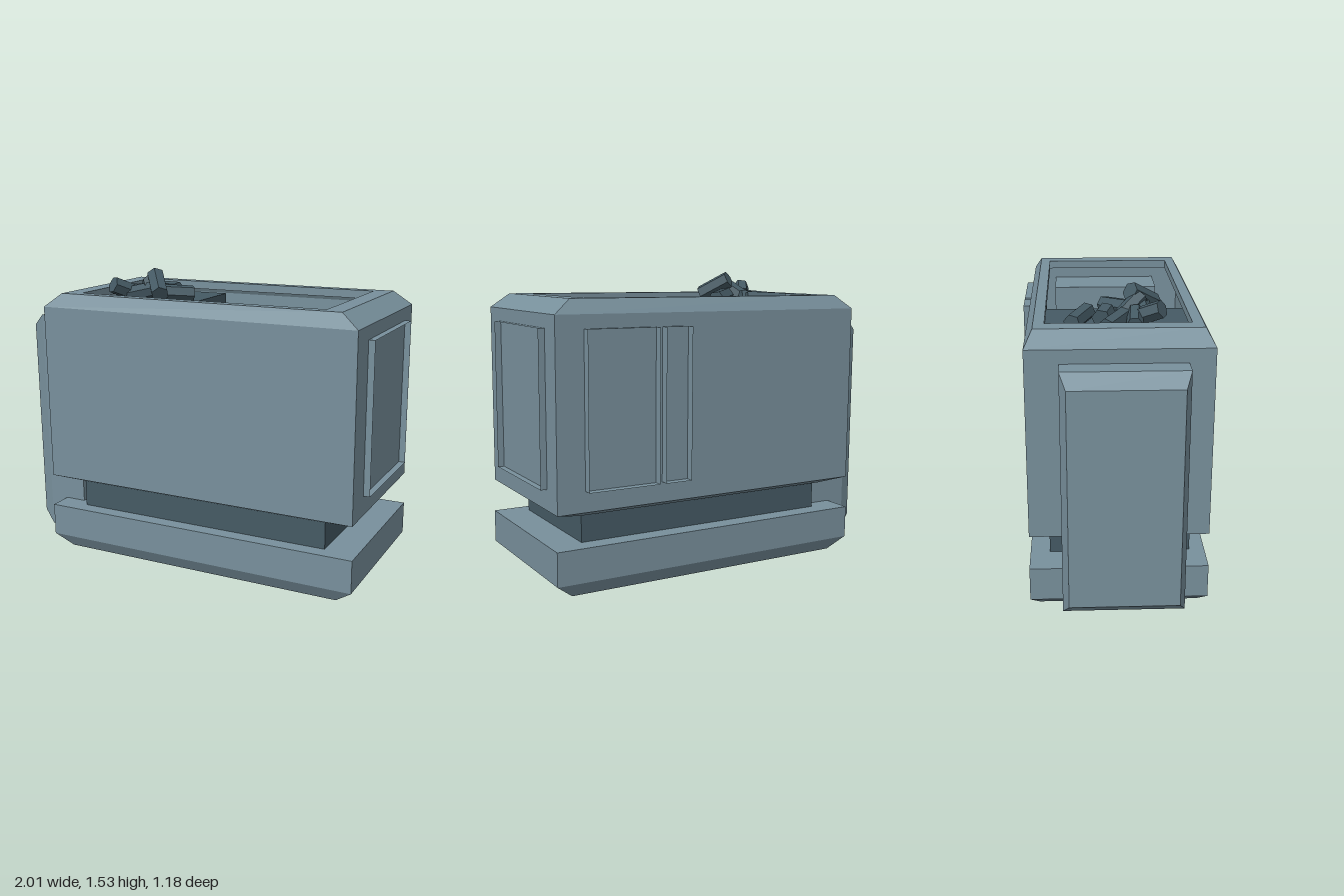
import * as THREE from 'three';

// Stacks rectangular rings [y, halfX, halfZ] into a flat-faced solid or shell.
function loft(rings, capStart = true, capEnd = true) {
  const pts = [];
  const ring = ([y, a, b]) => [[-a, y, -b], [-a, y, b], [a, y, b], [a, y, -b]];
  const quad = (p, q, r, s) => pts.push(...p, ...q, ...r, ...p, ...r, ...s);
  const loops = rings.map(ring);
  for (let k = 0; k < loops.length - 1; k++) {
    const lo = loops[k], hi = loops[k + 1];
    for (let i = 0; i < 4; i++) {
      const j = (i + 1) % 4;
      quad(lo[i], lo[j], hi[j], hi[i]);
    }
  }
  const [a, b, c, d] = loops[0];
  if (capStart) quad(d, c, b, a);
  if (capEnd) quad(...loops[loops.length - 1]);
  const geo = new THREE.BufferGeometry();
  geo.setAttribute('position', new THREE.Float32BufferAttribute(pts, 3));
  geo.computeVertexNormals();
  return geo;
}

export function createModel() {
  const steel = new THREE.MeshStandardMaterial({ color: 0x78909c, side: THREE.DoubleSide });
  steel.name = 'blueGreySteel';
  const dark = new THREE.MeshStandardMaterial({ color: 0x455a64, flatShading: true });
  dark.name = 'darkSlate';

  const model = new THREE.Group();
  model.name = 'storageBin';
  // The whole unit stands slightly turned and tilted
  const unit = new THREE.Group();
  unit.name = 'unit';
  unit.position.set(0.0675, 0, 0.0075);
  unit.rotation.set(0, 0.178, 0.0085, 'YXZ');
  model.add(unit);

  const add = (name, geo, mat, x = 0, y = 0, z = 0) => {
    const mesh = new THREE.Mesh(geo, mat);
    mesh.name = name;
    mesh.position.set(x, y, z);
    unit.add(mesh);
    return mesh;
  };

  // Plinth with bevelled underside, and the recessed neck above it
  add('base', loft([[0.01, 0.775, 0.392], [0.08, 0.866, 0.434], [0.25, 0.866, 0.434]]), steel);
  add('neck', new THREE.BoxGeometry(1.4, 0.2, 0.696), dark, 0, 0.31, 0.01);

  // Hollow body with bevelled rim and a short inner lip
  add('body', loft([
    [0.39, 0.72, 0.36], [0.4225, 0.861, 0.4315], [1.352, 0.861, 0.4315],
    [1.4225, 0.77, 0.392], [1.4225, 0.678, 0.34], [1.38, 0.678, 0.34],
  ], true, false), steel);

  // Bevelled slab on the end
  add('endSlab', loft([[0.75, 0.603, 0.292], [0.97, 0.603, 0.292], [1.041, 0.54, 0.262]]),
    steel, 0, 0.682, 0.018).rotation.z = Math.PI / 2;

  // Open-faced panel frames set through the walls
  const panelY = 0.905, panelH = 0.38;
  add('sidePanel', loft([[0.59, panelH, 0.295], [0.894, panelH, 0.295]], true, false),
    steel, 0, panelY, -0.015).rotation.z = -Math.PI / 2;
  for (const [name, x0, x1] of [['narrowBackPanel', 0.164, 0.307], ['wideBackPanel', 0.342, 0.718]]) {
    const half = (x1 - x0) / 2;
    add(name, loft([[0.365, half, panelH], [0.477, half, panelH]], true, false),
      steel, x0 + half, panelY, 0).rotation.x = -Math.PI / 2;
  }

  // Inner compartment filled to the top
  add('innerBin', new THREE.BoxGeometry(0.455, 0.94, 0.72), dark, -0.418, 0.89, 0);

  // Loose chunks: centre, direction, length, radius (in model space)
  const chunks = [
    [[-0.44, 1.39, -0.08], [1, 0.05, 0.2], 0.21, 0.043],
    [[-0.39, 1.39, 0.03], [0.8, 0.1, 0.1], 0.1, 0.048],
    [[-0.48, 1.39, 0.1], [1, 0.1, 0.35], 0.19, 0.042],
    [[-0.46, 1.4, 0.19], [1, 0.2, -0.1], 0.15, 0.04],
    [[-0.45, 1.43, 0.27], [0.35, -0.4, -0.9], 0.11, 0.045],
    [[-0.37, 1.41, 0.22], [1, 0.25, -0.25], 0.18, 0.042],
    [[-0.35, 1.43, 0.16], [0.6, 0.5, 0.5], 0.14, 0.045],
    [[-0.25, 1.4, 0.08], [0.8, -0.1, -1], 0.21, 0.045],
    [[-0.26, 1.455, 0.2], [0.8, -0.55, 0.7], 0.18, 0.047],
  ];
  const pile = new THREE.Group();
  pile.name = 'chunkPile';
  const up = new THREE.Vector3(0, 1, 0);
  for (const [pos, dir, len, r] of chunks) {
    const chunk = new THREE.Mesh(new THREE.CylinderGeometry(r, r, len, 6), dark);
    chunk.name = 'chunk';
    chunk.position.set(...pos);
    chunk.quaternion.setFromUnitVectors(up, new THREE.Vector3(...dir).normalize());
    pile.add(chunk);
  }
  model.add(pile);
  return model;
}
